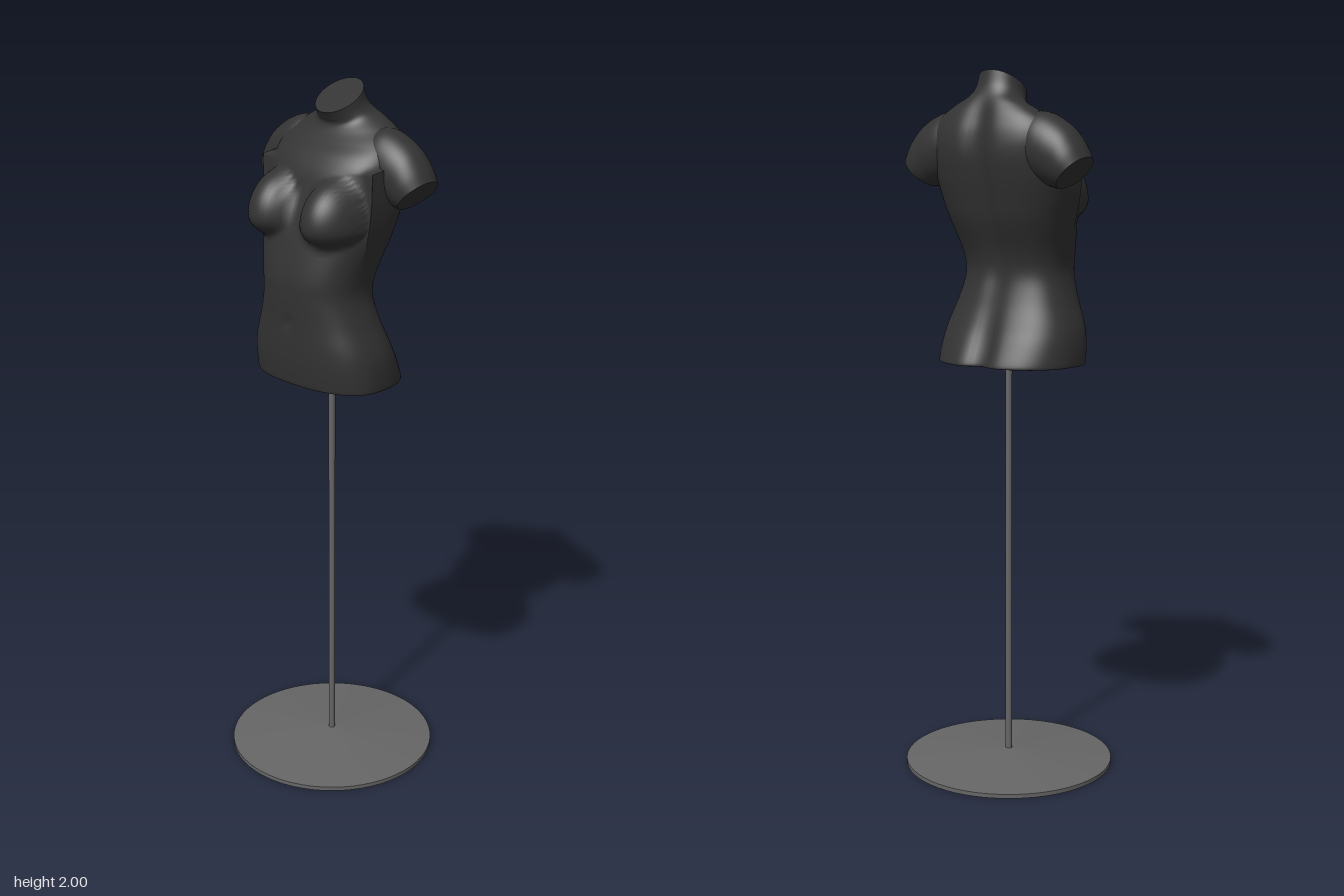
import * as THREE from 'three';

const SEG = 96;

// Smooth skin through closed rings, with sharp-edged caps on both ends
function loft(rings) {
  const n = rings[0].length, pos = [], idx = [];
  rings.forEach(r => r.forEach(p => pos.push(p.x, p.y, p.z)));
  for (let i = 0; i < rings.length - 1; i++) {
    for (let j = 0; j < n; j++) {
      const k = (j + 1) % n, a = i * n, b = a + n;
      idx.push(a + j, b + j, a + k, a + k, b + j, b + k);
    }
  }
  [rings[0], rings[rings.length - 1]].forEach((r, end) => {
    const start = pos.length / 3;
    const mid = r.reduce((m, p) => m.add(p), new THREE.Vector3()).divideScalar(n);
    [...r, mid].forEach(p => pos.push(p.x, p.y, p.z));
    for (let j = 0; j < n; j++) {
      const a = start + j, b = start + (j + 1) % n;
      idx.push(start + n, end ? b : a, end ? a : b);
    }
  });
  const g = new THREE.BufferGeometry();
  g.setAttribute('position', new THREE.Float32BufferAttribute(pos, 3));
  g.setIndex(idx);
  g.computeVertexNormals();
  return g;
}

// Catmull-Rom resampling of a table of section rows
function refine(rows, steps) {
  const out = [], last = rows.length - 1;
  for (let s = 0; s <= last * steps; s++) {
    const i = Math.min(Math.floor(s / steps), last - 1), t = s / steps - i;
    const [p, q, r, u] = [i - 1, i, i + 1, i + 2].map(k => rows[Math.max(0, Math.min(last, k))]);
    out.push(q.map((_, c) => q[c] + 0.5 * t * (r[c] - p[c]
      + t * (2 * p[c] - 5 * q[c] + 4 * r[c] - u[c]
      + t * (3 * (q[c] - r[c]) + u[c] - p[c])))));
  }
  return out;
}

const bump = (d, width) => Math.exp(-((d / width) ** 2));
const power = (v, e) => Math.sign(v) * Math.abs(v) ** e;

function smoothMax(a, b, k) {
  const h = Math.max(k - Math.abs(a - b), 0) / k;
  return Math.max(a, b) + h * h * k / 4;
}

// Height of the bust surface in z at a point of the chest
function bustZ(x, y) {
  const dx = (Math.abs(x) - 0.1) / 0.09;
  const dy = (y - 1.645) / (y > 1.645 ? 0.125 : 0.07);
  return 0.06 + 0.135 * Math.sqrt(Math.max(0, 1 - dx * dx - dy * dy));
}

// Torso sections: height, half width, side z, front z, back z, tilt, spine groove
const TORSO = [
  [1.187, 0.212, 0.03, 0.152, -0.148, 0, 0.024],
  [1.195, 0.217, 0.03, 0.157, -0.152, 0, 0.024],
  [1.25, 0.215, 0.035, 0.165, -0.128, 0, 0.022],
  [1.30, 0.205, 0.04, 0.169, -0.104, 0, 0.014],
  [1.37, 0.178, 0.045, 0.172, -0.077, 0, 0.008],
  [1.44, 0.158, 0.05, 0.177, -0.063, 0, 0.012],
  [1.50, 0.163, 0.045, 0.176, -0.074, 0, 0.016],
  [1.59, 0.186, 0.02, 0.157, -0.113, 0, 0.022],
  [1.65, 0.199, 0.0, 0.138, -0.131, 0, 0.024],
  [1.71, 0.206, -0.02, 0.117, -0.147, 0, 0.025],
  [1.77, 0.207, -0.035, 0.1, -0.158, 0, 0.025],
  [1.82, 0.205, -0.05, 0.073, -0.155, 0.05, 0.02],
  [1.855, 0.185, -0.055, 0.043, -0.142, 0.15, 0.014],
  [1.883, 0.138, -0.055, 0.02, -0.125, 0.28, 0.007],
  [1.905, 0.092, -0.045, 0.012, -0.108, 0.42, 0.002],
  [1.928, 0.075, -0.035, 0.019, -0.096, 0.55, 0],
  [1.96, 0.069, -0.028, 0.032, -0.088, 0.65, 0],
];

function torsoGeometry() {
  return loft(refine(TORSO, 6).map(([h, w, zs, zf, zb, tilt, groove]) => {
    const ring = [];
    const e = THREE.MathUtils.clamp(0.82 + (h - 1.8) * 1.5, 0.82, 1);
    for (let j = 0; j < SEG; j++) {
      const a = j / SEG * Math.PI * 2, c = Math.cos(a), s = Math.sin(a);
      const x = w * power(c, e);
      let z = zs + (s > 0 ? zf - zs : zs - zb) * power(s, e);
      if (s > 0.05) {
        if (h > 1.56 && h < 1.79) z = smoothMax(z, bustZ(x, h), 0.02);
        z -= 0.007 * bump(x, 0.012) * bump(h - 1.37, 0.014); // navel
      } else if (s < 0) {
        z += groove * bump(x, 0.035); // spine
      }
      ring.push(new THREE.Vector3(x, h + tilt * (-0.03 - z), z));
    }
    return ring;
  }));
}

// Upper arm sections: top x, top y, bottom x, bottom y, half depth
const ARM = [
  [0.09, 1.872, 0.10, 1.72, 0.062],
  [0.15, 1.887, 0.15, 1.70, 0.075],
  [0.20, 1.874, 0.18, 1.688, 0.076],
  [0.25, 1.842, 0.20, 1.682, 0.072],
  [0.283, 1.802, 0.21, 1.68, 0.069],
  [0.303, 1.765, 0.217, 1.68, 0.063],
];

function armGeometry(side) {
  return loft(refine(ARM, 5).map(([tx, ty, bx, by, depth]) => {
    const ring = [];
    for (let j = 0; j < 48; j++) {
      const a = j / 48 * Math.PI * 2, k = (1 + Math.cos(a)) / 2;
      ring.push(new THREE.Vector3(side * (bx + (tx - bx) * k), by + (ty - by) * k,
        -0.057 - side * depth * Math.sin(a)));
    }
    return ring;
  }));
}

export function createModel() {
  const model = new THREE.Group();
  model.name = 'dressFormOnStand';

  const body = new THREE.MeshStandardMaterial({ color: 0x333333 });
  body.name = 'charcoal body';
  const metal = new THREE.MeshStandardMaterial({ color: 0x666666 });
  metal.name = 'grey metal';

  const add = (name, geometry, material, y = 0) => {
    const mesh = new THREE.Mesh(geometry, material);
    mesh.name = name;
    mesh.position.y = y;
    model.add(mesh);
  };

  add('torso', torsoGeometry(), body);
  add('leftUpperArm', armGeometry(1), body);
  add('rightUpperArm', armGeometry(-1), body);

  // Stand: thin rim, shallow cone and pole
  add('baseRim', new THREE.CylinderGeometry(0.302, 0.302, 0.012, 64), metal, 0.006);
  add('baseCone', new THREE.CylinderGeometry(0.01, 0.302, 0.024, 64, 1, true), metal, 0.024);
  add('pole', new THREE.CylinderGeometry(0.0095, 0.0095, 1.19, 20), metal, 0.605);

  return model;
}
